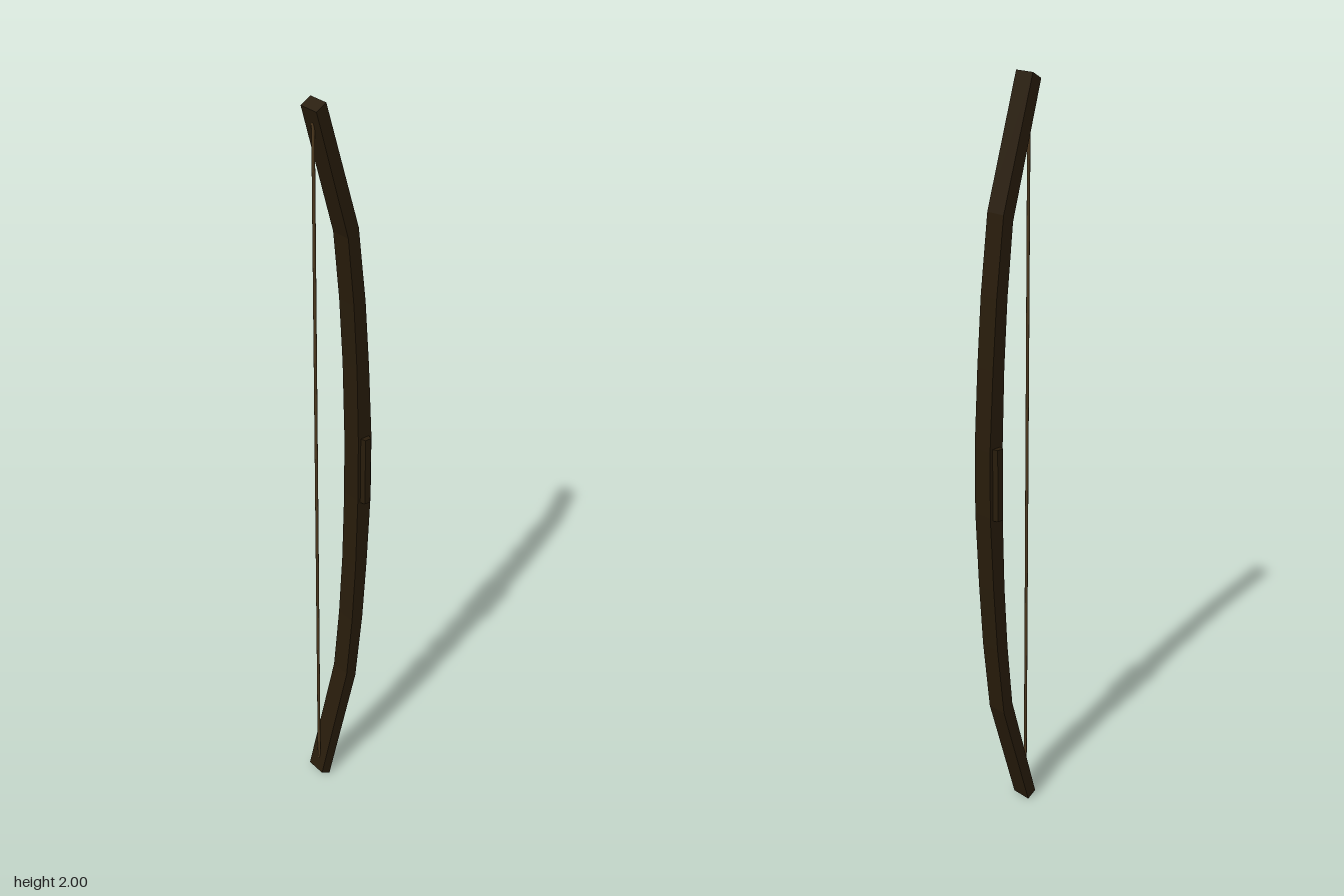
import * as THREE from 'three';

export function createModel() {
  const bow = new THREE.Group();
  bow.name = 'bow';
  const wood = new THREE.MeshStandardMaterial({ name: 'dark wood', color: 0x281c0b });
  const cord = new THREE.MeshStandardMaterial({ name: 'brown cord', color: 0x4a361c });

  const add = (name, geometry, material) => {
    const mesh = new THREE.Mesh(geometry, material);
    mesh.name = name;
    bow.add(mesh);
    return mesh;
  };

  // Upper half of the stave profile as [z, height above the middle], from grip to tip
  const back = [[-0.084, 0.09], [-0.073, 0.3], [-0.06, 0.48], [-0.037, 0.68], [0.057, 1]];
  const belly = [[-0.041, 0.09], [-0.035, 0.3], [-0.024, 0.48], [-0.006, 0.66], [0.084, 0.984]];
  const upper = [...back, ...belly.slice().reverse()];
  const lower = upper.map(([z, h]) => [z, -h]).reverse();

  // Stave: side profile extruded across the width
  const stave = new THREE.Shape([...upper, ...lower].map(([z, h]) => new THREE.Vector2(-z, 1 + h)));
  const staveGeo = new THREE.ExtrudeGeometry(stave, { depth: 0.056, bevelEnabled: false });
  staveGeo.translate(0, 0, -0.028).rotateY(Math.PI / 2);
  add('stave', staveGeo, wood);

  // Grip: tapered side cheeks, extruded upwards
  const cheek = [[0.02, 0.049], [0.028, 0.049], [0.042, 0.053], [0.042, 0.071], [0.028, 0.075], [0.02, 0.075]];
  for (const side of [1, -1]) {
    const shape = new THREE.Shape(cheek.map(([x, y]) => new THREE.Vector2(side * x, y)));
    const geo = new THREE.ExtrudeGeometry(shape, { depth: 0.195, bevelEnabled: false });
    geo.rotateX(-Math.PI / 2).translate(0, 0.9025, 0);
    add(side > 0 ? 'leftGrip' : 'rightGrip', geo, wood);
  }

  // String between the tips: a slim smooth cord
  add('string', new THREE.CylinderGeometry(0.004, 0.004, 1.9, 16), cord).position.set(0, 1, 0.072);

  return bow;
}
